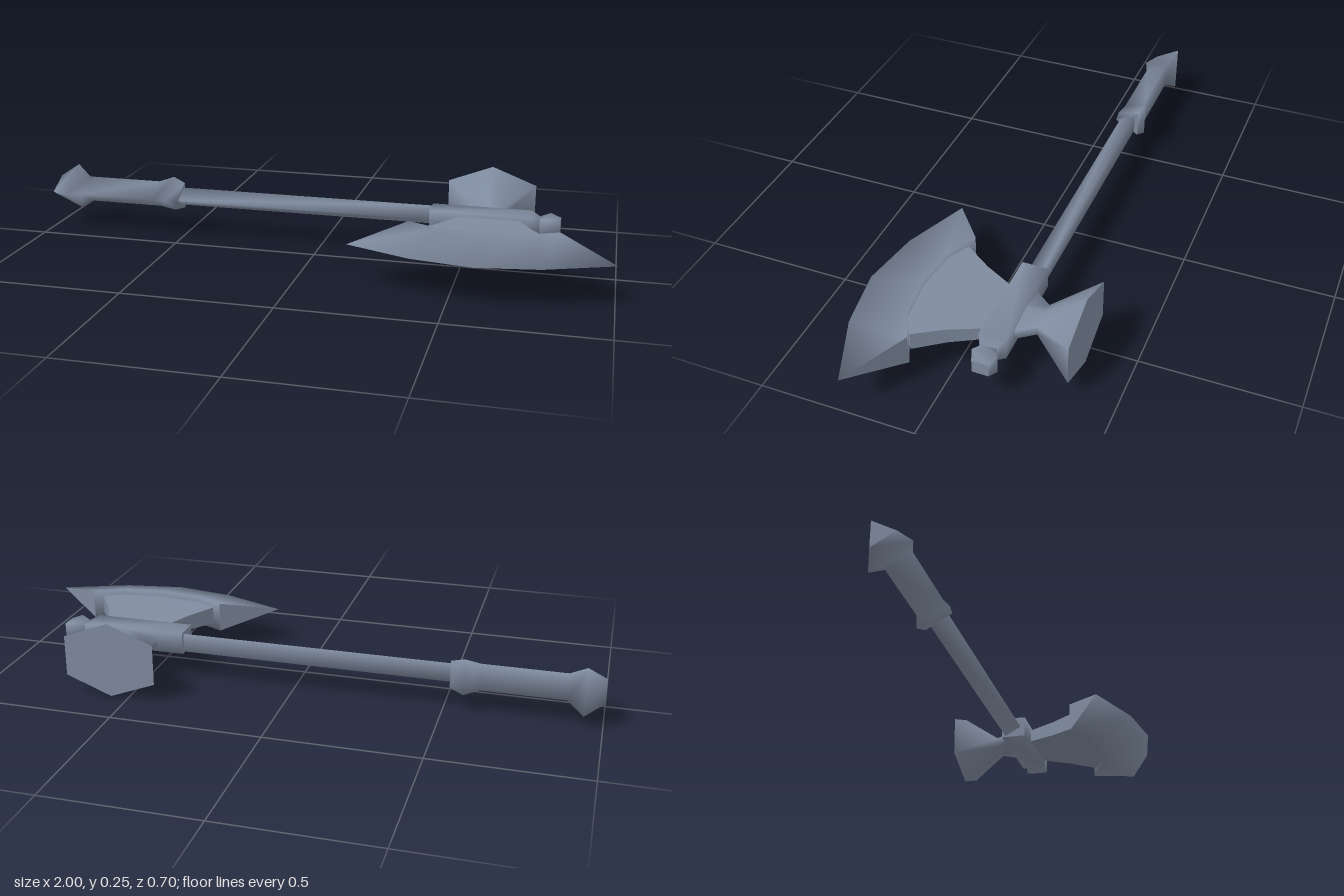
import * as THREE from 'three';
import { toCreasedNormals } from 'three/addons/utils/BufferGeometryUtils.js';

const Y = 0.132; // height of the axe's middle plane

// Skin a list of equal-sized rings, with smooth sides and flat end caps
function loft(rings) {
  const n = rings[0].length, pos = rings.flat(2), idx = [];
  for (let i = 0; i < rings.length - 1; i++) {
    for (let j = 0; j < n; j++) {
      const a = i * n + j, b = i * n + (j + 1) % n;
      idx.push(a, b, a + n, b, b + n, a + n);
    }
  }
  const cap = (ring, flip) => {
    const s = pos.length / 3;
    pos.push(...ring.flat());
    for (let j = 1; j < n - 1; j++) idx.push(s, s + (flip ? j + 1 : j), s + (flip ? j : j + 1));
  };
  cap(rings[0], true);
  cap(rings[rings.length - 1], false);
  const g = new THREE.BufferGeometry();
  g.setAttribute('position', new THREE.Float32BufferAttribute(pos, 3));
  g.setIndex(idx);
  g.computeVertexNormals();
  return g;
}

// Three-sided bar along x: stations are [x, half width, back z, ridge z]
const triBar = (stations) => loft(stations.map(([x, w, back, ridge]) =>
  [[x, Y + w, back], [x, Y, ridge], [x, Y - w, back]]));

// Four-sided bar along x: stations are [x, half height, half depth]
const squareBar = (stations, z) => loft(stations.map(([x, h, d]) =>
  [[x, Y + h, z - d], [x, Y + h, z + d], [x, Y - h, z + d], [x, Y - h, z - d]]));

export function createModel() {
  const steel = new THREE.MeshStandardMaterial({ color: 0x7f8b9f });
  steel.name = 'steel';
  const axe = new THREE.Group();
  axe.name = 'battleAxe';
  const add = (name, geometry) => {
    const mesh = new THREE.Mesh(geometry, steel);
    mesh.name = name;
    axe.add(mesh);
  };

  // Handle
  add('shaft', triBar([[-0.55, 0.032, -0.15, -0.093], [0.4, 0.032, -0.15, -0.093]]));
  add('gripAndPommel', triBar([
    [-1, 0.042, -0.163, -0.088],
    [-0.94, 0.082, -0.187, -0.062],
    [-0.885, 0.046, -0.16, -0.082],
    [-0.615, 0.046, -0.16, -0.082],
    [-0.565, 0.062, -0.176, -0.074],
    [-0.52, 0.046, -0.163, -0.08],
  ]));

  // Socket that holds the head, and the finial past it
  add('collar', squareBar([[0.38, 0.036, 0.043], [0.715, 0.036, 0.043], [0.745, 0.022, 0.024]], -0.12));
  add('finial', squareBar([[0.74, 0.022, 0.023], [0.778, 0.032, 0.04], [0.812, 0.022, 0.026]], -0.123));

  // Neck flaring from the collar to the blade
  const neck = loft([
    [-0.12, 0.085, 0.022], [-0.07, 0.105, 0.022], [0.02, 0.15, 0.026],
    [0.11, 0.21, 0.03], [0.18, 0.13, 0.03],
  ].map(([z, w, h]) => [
    [0.578 + w, Y - h, z], [0.578 + w, Y + h, z], [0.578 - w, Y + h, z], [0.578 - w, Y - h, z],
  ]));
  add('bladeNeck', toCreasedNormals(neck, 0.9));

  // Blade wedge: stations are [inner x, inner z, edge x, edge z]
  add('blade', loft([
    [0.34, 0.1, 0.163, 0.23],
    [0.44, 0.148, 0.38, 0.317],
    [0.58, 0.164, 0.58, 0.35],
    [0.72, 0.148, 0.78, 0.317],
    [0.82, 0.1, 1, 0.23],
  ].map(([xi, zi, xe, ze]) => [[xi, Y + 0.051, zi], [xe, Y, ze], [xi, Y - 0.051, zi]])));

  // Six-sided hammer at the back: stations are [z, half width, peak height, shoulder height]
  add('backHammer', loft([
    [-0.354, 0.153, 0.127, 0.068],
    [-0.218, 0.05, 0.031, 0.016],
    [-0.13, 0.115, 0.031, 0.016],
  ].map(([z, w, p, s]) => [
    [0.56 + w, Y - s, z], [0.56 + w, Y + s, z], [0.56, Y + p, z],
    [0.56 - w, Y + s, z], [0.56 - w, Y - s, z], [0.56, Y - p, z],
  ])));

  return axe;
}
